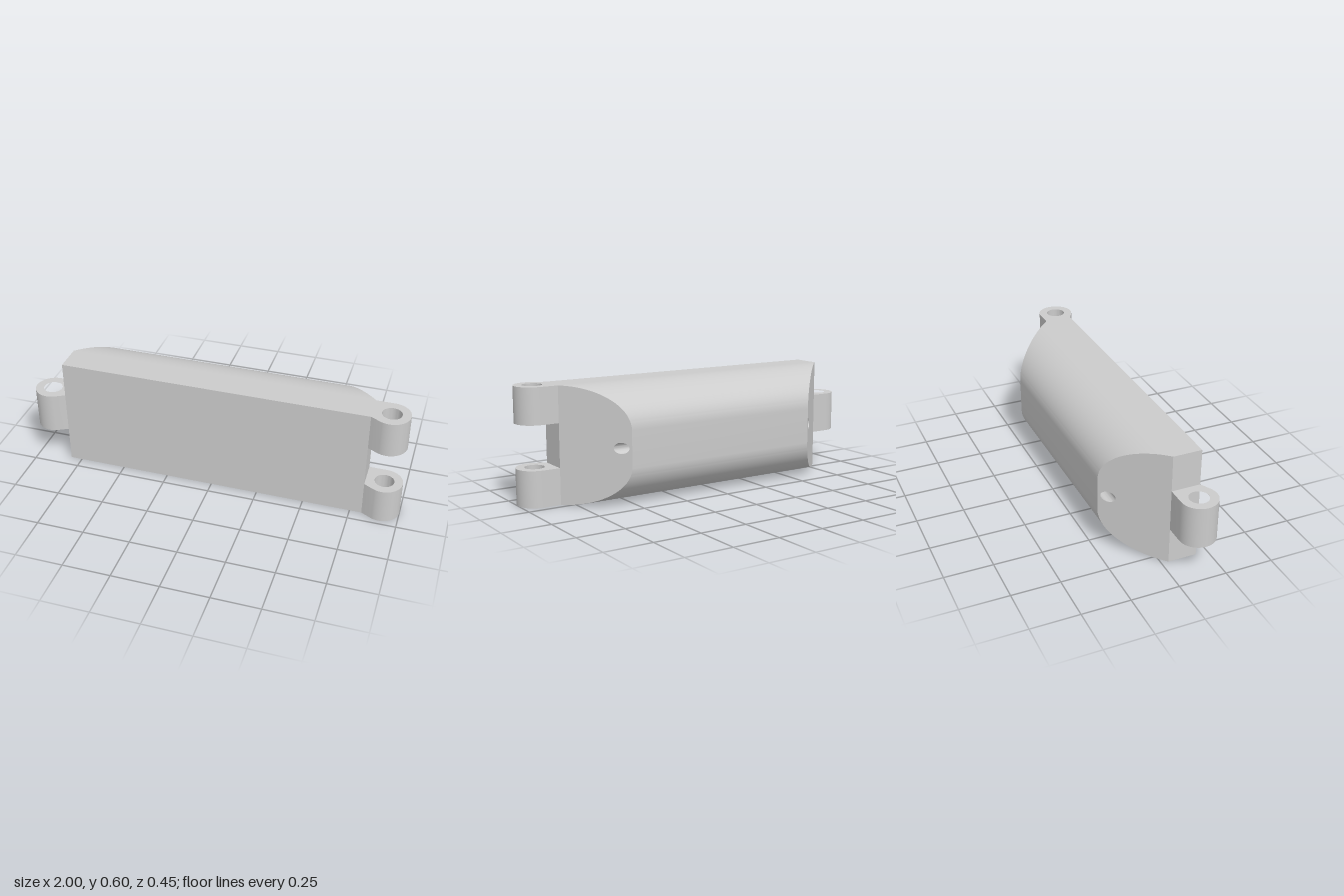
import * as THREE from 'three';
import { toCreasedNormals } from 'three/addons/utils/BufferGeometryUtils.js';

const HEIGHT = 0.6, MID = 0.3;
const END = 0.812;                          // half length of the plate
const FRONT = 0.187, SEAM = 0.037, BACK = -0.225;
const PIN_X = 0.906, PIN_Z = 0.131, EYE_R = 0.094, PIN_R = 0.05;

const material = new THREE.MeshStandardMaterial({ color: 0xcccccc });

function addMesh(parent, name, geometry) {
  const mesh = new THREE.Mesh(geometry, material);
  mesh.name = name;
  parent.add(mesh);
}

function circlePath(x, y, r) {
  return new THREE.Path().absarc(x, y, r, 0, Math.PI * 2, true);
}

// Domed back: rounded section drawn in (z, y), swept along x, ends mitred at 45 degrees
function domedBackGeometry() {
  const flat = 0.09, rz = SEAM - BACK, ry = MID - flat;
  const shape = new THREE.Shape();
  shape.moveTo(SEAM, 0);
  shape.lineTo(SEAM, HEIGHT);
  shape.absellipse(SEAM, MID + flat, rz, ry, Math.PI / 2, Math.PI, false);
  shape.absellipse(SEAM, MID - flat, rz, ry, Math.PI, Math.PI * 1.5, false);
  shape.holes.push(circlePath(-0.187, MID, 0.028));
  const geo = new THREE.ExtrudeGeometry(shape, { depth: 2, bevelEnabled: false, curveSegments: 20 });
  geo.translate(0, 0, -1).rotateY(-Math.PI / 2);
  const p = geo.attributes.position;
  for (let i = 0; i < p.count; i++) {
    p.setX(i, Math.sign(p.getX(i)) * (END - (SEAM - p.getZ(i))));
  }
  return toCreasedNormals(geo, 0.5);
}

// Hinge eye: round eye tangent to the plate's front corner, drawn in (x, z), raised along y
function hingeEyeGeometry(side, y0, y1) {
  const dx = END - PIN_X, dz = FRONT - PIN_Z;
  const tangent = Math.atan2(dz, dx) - Math.acos(EYE_R / Math.hypot(dx, dz));
  const points = [new THREE.Vector2(side * END, FRONT), new THREE.Vector2(side * END, SEAM)];
  const n = 36;
  for (let i = 0; i <= n; i++) {
    const a = THREE.MathUtils.lerp(-Math.PI / 2, tangent, i / n);
    points.push(new THREE.Vector2(side * (PIN_X + EYE_R * Math.cos(a)), PIN_Z + EYE_R * Math.sin(a)));
  }
  const shape = new THREE.Shape(points);
  shape.holes.push(circlePath(side * PIN_X, PIN_Z, PIN_R));
  const geo = new THREE.ExtrudeGeometry(shape, { depth: y1 - y0, bevelEnabled: false, curveSegments: 20 });
  geo.rotateX(Math.PI / 2).translate(0, y1, 0);
  return toCreasedNormals(geo, 0.45);
}

export function createModel() {
  const model = new THREE.Group();
  model.name = 'hingedLink';

  const plate = new THREE.BoxGeometry(END * 2, HEIGHT, FRONT - SEAM);
  plate.translate(0, MID, (FRONT + SEAM) / 2);
  addMesh(model, 'frontPlate', plate);
  addMesh(model, 'domedBack', domedBackGeometry());

  // Two eyes on the left take the single middle eye of the next link
  addMesh(model, 'lowerHingeEye', hingeEyeGeometry(1, 0, 0.187));
  addMesh(model, 'upperHingeEye', hingeEyeGeometry(1, 0.413, HEIGHT));
  addMesh(model, 'middleHingeEye', hingeEyeGeometry(-1, 0.192, 0.41));
  return model;
}
